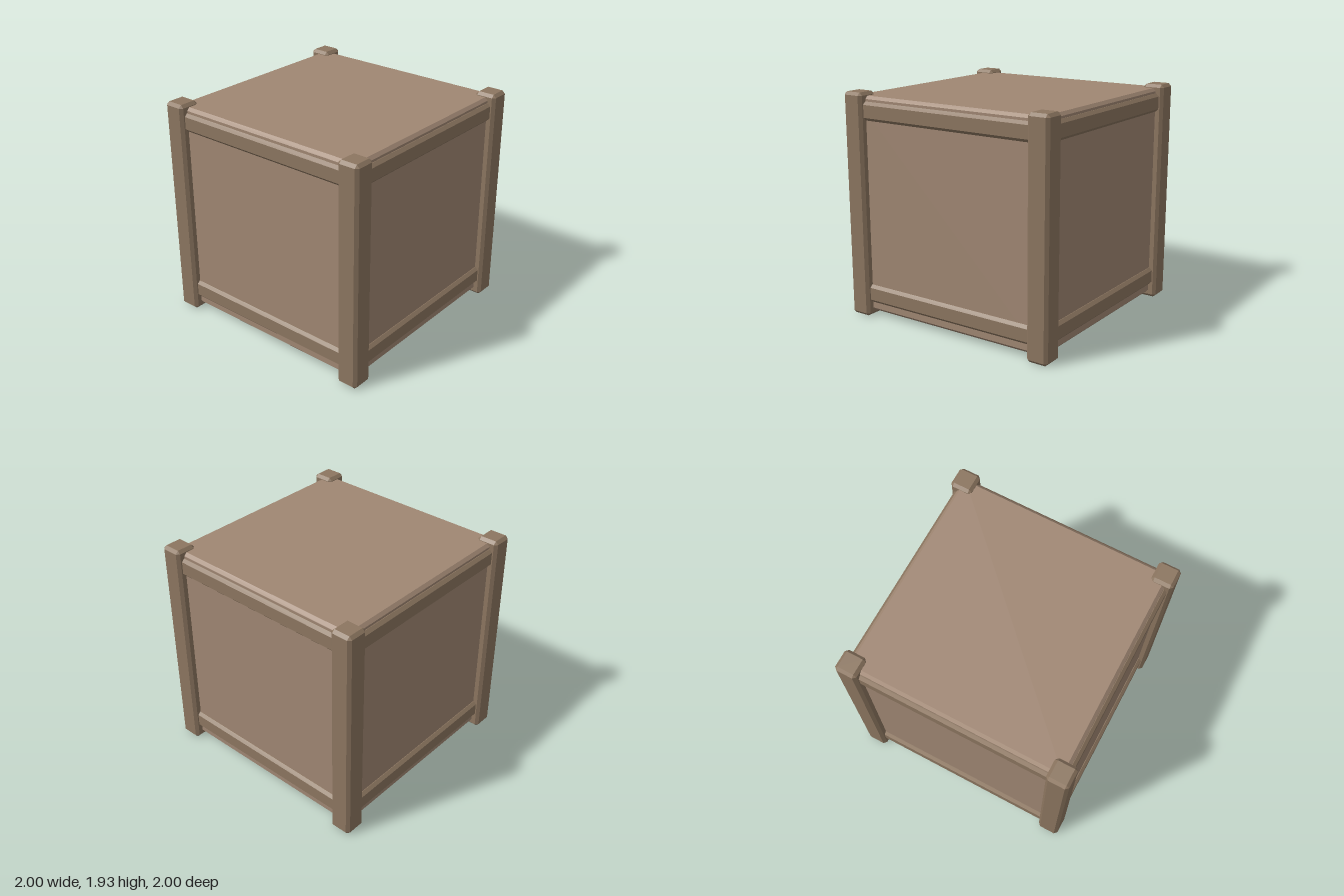
import * as THREE from 'three';
import { ConvexGeometry } from 'three/addons/geometries/ConvexGeometry.js';

const panelWood = new THREE.MeshStandardMaterial({ color: 0xa08773, flatShading: true });
const frameWood = new THREE.MeshStandardMaterial({ color: 0x8c7660, flatShading: true });

// Box of full size w, h, d with every edge cut at 45 degrees by c
function chamferedBox(w, h, d, c) {
  const half = [w / 2, h / 2, d / 2];
  const points = [];
  for (const sx of [-1, 1]) for (const sy of [-1, 1]) for (const sz of [-1, 1]) {
    for (let axis = 0; axis < 3; axis++) {
      const [x, y, z] = half.map((v, i) => (i === axis ? v : v - c));
      points.push(new THREE.Vector3(sx * x, sy * y, sz * z));
    }
  }
  return new ConvexGeometry(points);
}

function part(name, geometry, material, x, y, z) {
  const mesh = new THREE.Mesh(geometry, material);
  mesh.name = name;
  mesh.position.set(x, y, z);
  return mesh;
}

export function createModel() {
  const crate = new THREE.Group();
  crate.name = 'crate';

  // Panelled body
  crate.add(part('body', chamferedBox(1.87, 1.86, 1.87, 0.025), panelWood, 0, 0.97, 0));

  // Corner posts
  const postGeometry = chamferedBox(0.19, 1.93, 0.19, 0.025);
  for (const [zName, z] of [['front', 0.905], ['back', -0.905]]) {
    for (const [xName, x] of [['Left', 0.905], ['Right', -0.905]]) {
      crate.add(part(`${zName}${xName}Post`, postGeometry, frameWood, x, 0.965, z));
    }
  }

  // Upper and lower rails on each side, let into the posts
  const railGeometry = chamferedBox(1.78, 0.157, 0.12, 0.025);
  ['front', 'left', 'back', 'right'].forEach((name, i) => {
    const side = new THREE.Group();
    side.name = `${name}Rails`;
    side.rotation.y = i * Math.PI / 2;
    side.add(part('lowerRail', railGeometry, frameWood, 0, 0.2, 0.905));
    side.add(part('upperRail', railGeometry, frameWood, 0, 1.777, 0.905));
    crate.add(side);
  });

  return crate;
}
